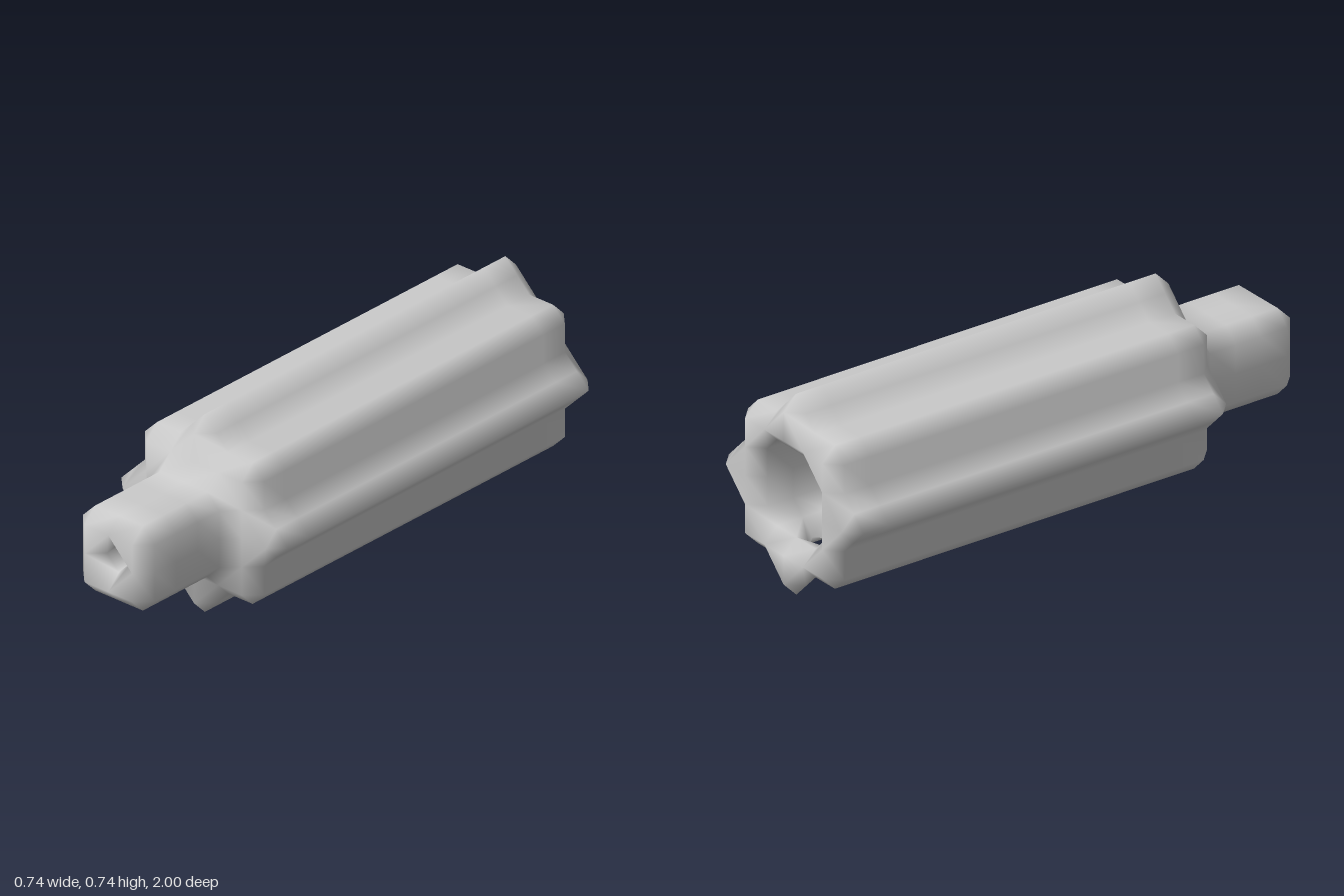
import * as THREE from 'three';
import { mergeVertices } from 'three/addons/utils/BufferGeometryUtils.js';

const U = 2 / 19;        // one modelling step; the body is 19 steps long
const AXIS_Y = 3.5;      // height of the long axis, in steps

// Quarter cross-sections in steps, each with 7 points starting on +x
const STAR = [[3.5, 0], [3, 0.5], [2.5, 1], [2.5, 2], [2, 2.5], [1, 2.5], [0.5, 3]];
const STAR_END = [[3, 0], [3, 0], [2, 1], [2, 2], [2, 2], [1, 2], [0, 3]];
const COLLAR = [[2, 0], [2, 0], [2, 1], [2, 1], [1, 2], [1, 2], [0, 2]];
const TUBE = [[1.5, 0], [1.5, 0], [1.5, 1], [1.5, 1], [1, 1.5], [1, 1.5], [0, 1.5]];
const TUBE_END = [[1, 0], [1, 0], [1, 1], [1, 1], [1, 1], [1, 1], [0, 1]];
const diamond = r => [[r, 0], [r, 0], [r, 0], [r, 0], [0, r], [0, r], [0, r]];

// Turn a quarter section into a full ring of 28 points
function ring(quarter, z) {
  const points = [];
  for (let q = 0; q < 4; q++) {
    for (let [x, y] of quarter) {
      for (let k = 0; k < q; k++) [x, y] = [-y, x];
      points.push([x, y, z]);
    }
  }
  return points;
}

export function createModel() {
  const rings = [];
  const run = (section, from, to) => {
    const step = Math.sign(to - from) || 1;
    for (let z = from; z * step <= to * step; z += step) rings.push(ring(section, z));
  };

  // fluted body and its front shoulder
  run(STAR, -9, 5);
  run(STAR_END, 5.5, 5.5);
  run(COLLAR, 5.5, 5.5);
  // neck and its tip
  run(TUBE, 6, 9);
  run(TUBE_END, 9.5, 9.5);
  run(diamond(1), 9.5, 9.5);
  // narrow hole running back through the neck
  run(diamond(0.5), 9, 5);
  // wide bore, open at the back
  run(diamond(1), 4.5, 4.5);
  run(TUBE_END, 4.5, 4.5);
  run(TUBE, 4, -9);
  run(COLLAR, -9.5, -9.5);
  run(STAR_END, -9.5, -9.5);

  const positions = [];
  const polygon = points => {
    for (let i = 1; i < points.length - 1; i++) {
      for (const [x, y, z] of [points[0], points[i], points[i + 1]]) {
        positions.push(x * U, (y + AXIS_Y) * U, z * U);
      }
    }
  };

  // skin the rings into one closed surface, leaving room for the bottom port
  rings.forEach((a, r) => {
    const b = rings[(r + 1) % rings.length];
    const zs = [a[0][2], b[0][2]];
    const atPort = Math.min(...zs) >= -9 && Math.max(...zs) <= -7;
    for (let c = 0; c < 28; c++) {
      if (atPort && c >= 19 && c <= 22) continue;
      const d = (c + 1) % 28;
      polygon([a[c], a[d], b[d], b[c]]);
    }
  });

  // small port through the bottom ridge: one quarter, mirrored in x and z
  const port = [
    [[0.5, -3, 1], [0, -3.5, 1], [0, -3, 0.5]],
    [[1, -2.5, 1], [0.5, -3, 1], [0, -3, 0.5], [0, -2, 0.5], [0.5, -2, 0], [1, -2.5, 0]],
    [[0.5, -2, 0], [0, -2, 0.5], [0, -1.5, 1], [1, -1.5, 1], [1, -1.5, 0]],
  ];
  for (const sx of [1, -1]) {
    for (const sz of [1, -1]) {
      for (const face of port) {
        const points = face.map(([x, y, z]) => [x * sx, y, -8 + z * sz]);
        polygon(sx * sz > 0 ? points : points.reverse());
      }
    }
  }

  // weld, drop collapsed triangles and smooth
  let geometry = new THREE.BufferGeometry();
  geometry.setAttribute('position', new THREE.Float32BufferAttribute(positions, 3));
  geometry = mergeVertices(geometry, 1e-4);
  const old = geometry.index.array;
  const index = [];
  for (let i = 0; i < old.length; i += 3) {
    const [a, b, c] = [old[i], old[i + 1], old[i + 2]];
    if (a !== b && b !== c && c !== a) index.push(a, b, c);
  }
  geometry.setIndex(index);
  geometry.computeVertexNormals();

  const body = new THREE.Mesh(geometry, new THREE.MeshStandardMaterial({ color: 0xcccccc }));
  body.name = 'flutedTubeWithNeck';
  const group = new THREE.Group();
  group.name = 'flutedTube';
  group.add(body);
  return group;
}
